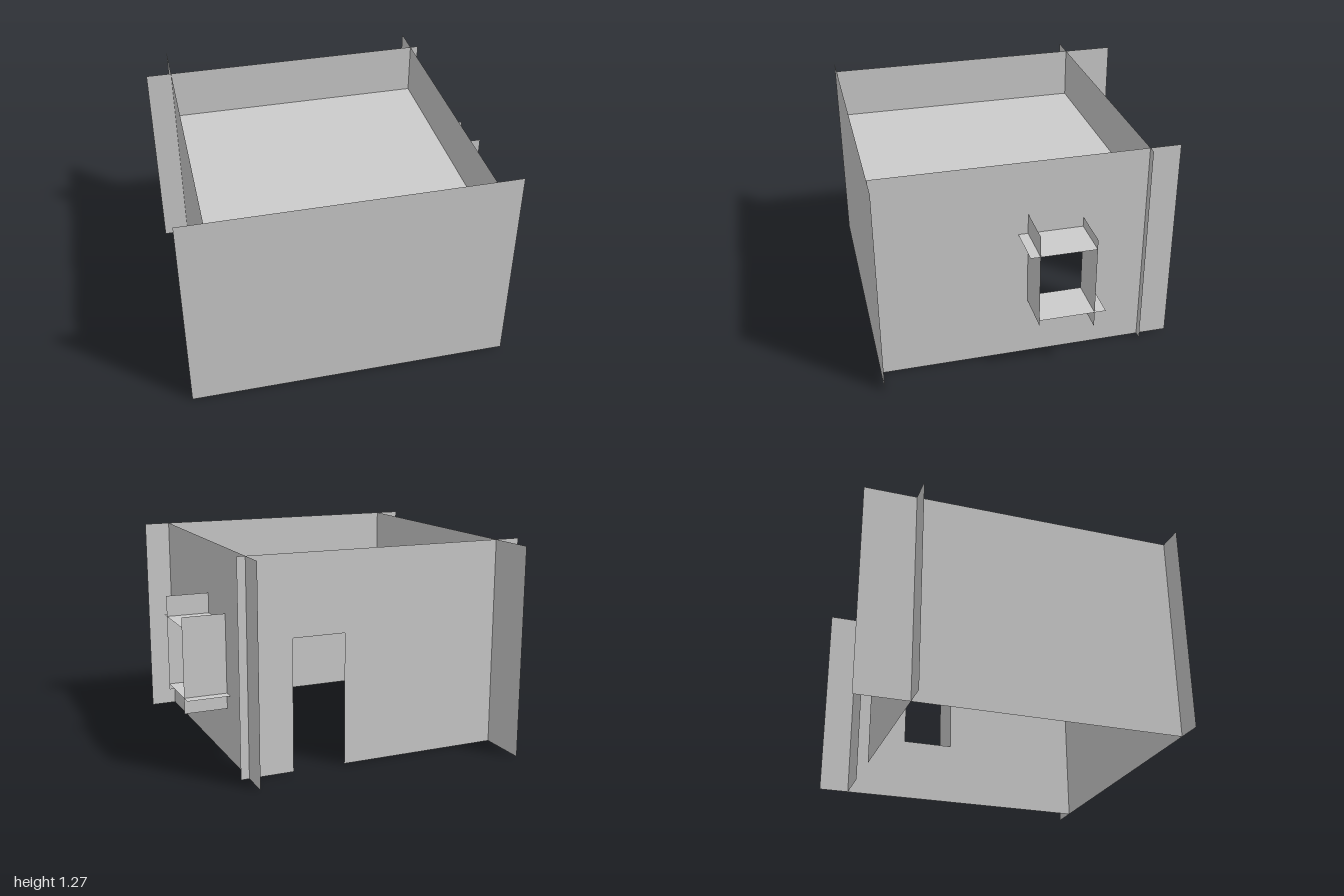
import * as THREE from 'three';

const material = new THREE.MeshStandardMaterial({ color: 0xcccccc, side: THREE.DoubleSide });

// Thin sheet spanning [u0,u1] x [v0,v1], with an optional rectangular opening.
function sheet(name, [u0, u1, v0, v1], opening) {
  const corners = (a, b, c, d) => [[a, c], [b, c], [b, d], [a, d]].map(p => new THREE.Vector2(...p));
  const shape = new THREE.Shape(corners(u0, u1, v0, v1));
  if (opening) shape.holes.push(new THREE.Path(corners(...opening)));
  const mesh = new THREE.Mesh(new THREE.ShapeGeometry(shape), material);
  mesh.name = name;
  return mesh;
}

// Sheet facing z: u = x, v = y
function facingZ(name, z, rect, opening) {
  const mesh = sheet(name, rect, opening);
  mesh.position.z = z;
  return mesh;
}

// Sheet facing x: u = -z, v = y
function facingX(name, x, [z0, z1, y0, y1], opening) {
  const flip = ([a, b, c, d]) => [-b, -a, c, d];
  const mesh = sheet(name, flip([z0, z1, y0, y1]), opening && flip(opening));
  mesh.rotation.y = Math.PI / 2;
  mesh.position.x = x;
  return mesh;
}

// Sheet facing y: u = x, v = -z
function facingY(name, y, [x0, x1, z0, z1]) {
  const mesh = sheet(name, [x0, x1, -z1, -z0]);
  mesh.rotation.x = -Math.PI / 2;
  mesh.position.y = y;
  return mesh;
}

export function createModel() {
  const model = new THREE.Group();
  model.name = 'room';

  const H = 1.27, left = 0.74, right = -0.845, front = 0.945, back = -0.635;
  const win = { z0: -0.26, z1: 0.065, y0: 0.4, y1: 0.82 };

  // Walls run past each other at the corners
  model.add(facingZ('frontWall', front, [-1, 0.9, 0, H]));
  model.add(facingX('rightWall', right, [-0.945, front, 0, H]));
  model.add(facingX('leftWall', left, [-0.82, front, 0, H], [win.z0, win.z1, win.y0, win.y1]));

  // Back wall outline steps around the doorway
  const outline = [[-1, 0], [0.15, 0], [0.15, 0.79], [0.47, 0.79], [0.47, 0], [0.79, 0], [0.79, H], [-1, H]];
  const backWall = new THREE.Mesh(
    new THREE.ShapeGeometry(new THREE.Shape(outline.map(p => new THREE.Vector2(...p)))), material);
  backWall.name = 'backWall';
  backWall.position.z = back;
  model.add(backWall);

  // Roof set below the wall tops
  model.add(facingY('roof', 0.955, [right, left, back, front]));

  // Window surround of four overlapping sheets
  const frame = new THREE.Group();
  frame.name = 'windowSurround';
  frame.add(
    facingZ('surroundFrontSide', win.z1, [left, 1, 0.365, 0.945]),
    facingZ('surroundBackSide', win.z0, [left, 1, 0.305, 0.88]),
    facingY('surroundTop', win.y1, [left, 1, win.z0, 0.122]),
    facingY('surroundSill', win.y0, [left, 1, -0.327, win.z1]));
  model.add(frame);

  return model;
}
